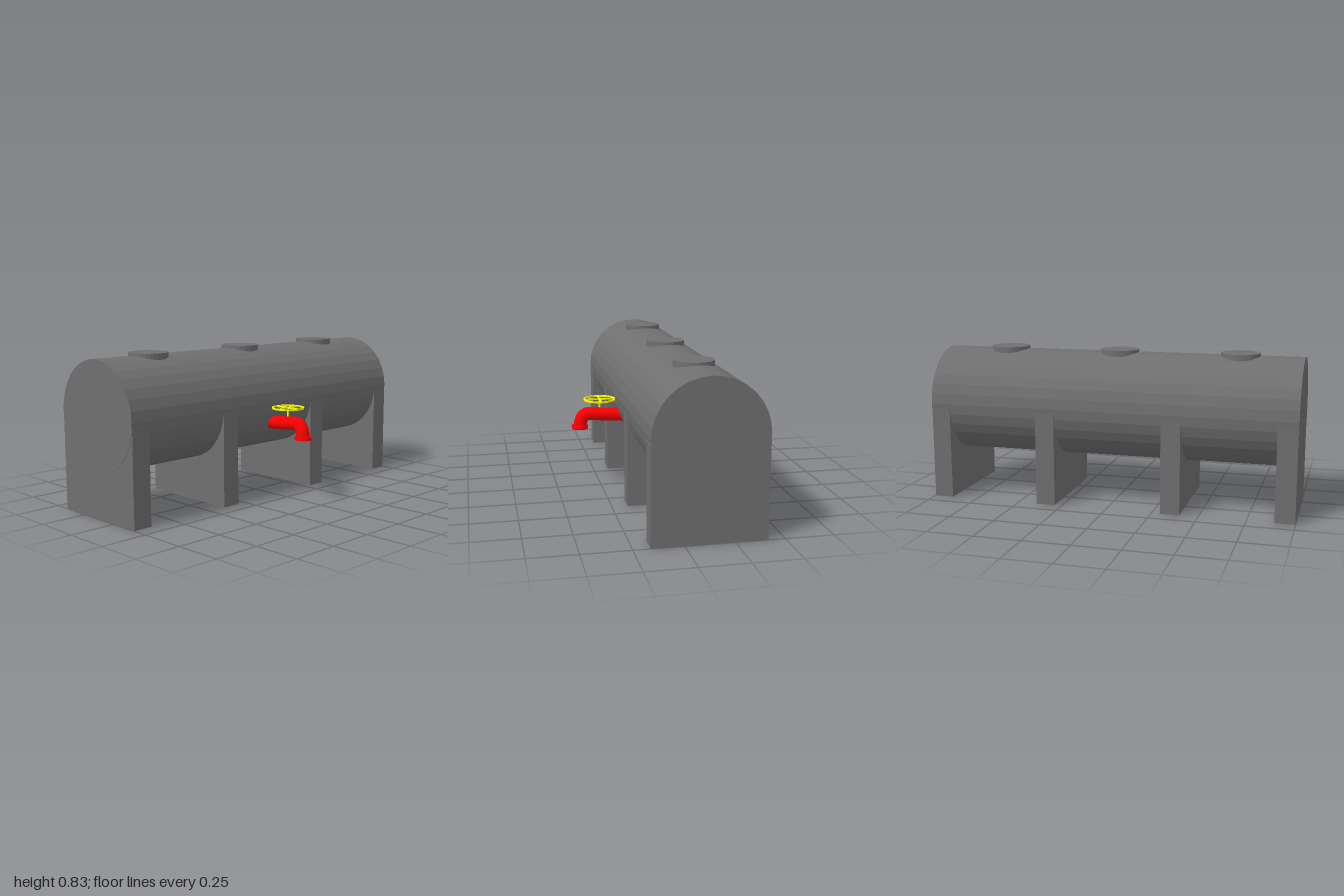
import * as THREE from 'three';

const grey = new THREE.MeshStandardMaterial({ color: 0x6f6f6f, flatShading: true });
const red = new THREE.MeshStandardMaterial({ color: 0xff0000 });
const yellow = new THREE.MeshStandardMaterial({ color: 0xffff00, flatShading: true });

const TANK_X = -0.1245, TANK_Y = 0.527, TANK_R = 0.289;
const WHEEL_X = 0.253, WHEEL_Y = 0.503;

function add(parent, name, geometry, material, x = 0, y = 0, z = 0) {
  const mesh = new THREE.Mesh(geometry, material);
  mesh.name = name;
  mesh.position.set(x, y, z);
  parent.add(mesh);
  return mesh;
}

export function createModel() {
  const model = new THREE.Group();
  model.name = 'storageTank';

  // Horizontal tank
  const tank = new THREE.CylinderGeometry(TANK_R, TANK_R, 2, 32).rotateX(Math.PI / 2);
  add(model, 'tank', tank, grey, TANK_X, TANK_Y, 0);

  // Slab supports, the outer pair just inside the tank ends
  for (const z of [-0.946, -0.342, 0.348, 0.946]) {
    add(model, 'support', new THREE.BoxGeometry(TANK_R * 2, 0.5, 0.104), grey, TANK_X, 0.25, z);
  }

  // Round hatches along the top
  for (const z of [-0.638, 0, 0.662]) {
    add(model, 'hatch', new THREE.CylinderGeometry(0.105, 0.105, 0.06, 32), grey, TANK_X, 0.799, z);
  }

  // Outlet pipe bending down to a flanged mouth
  const outlet = new THREE.Group();
  outlet.name = 'outlet';
  model.add(outlet);
  const path = new THREE.CatmullRomCurve3([
    [0.1, 0.411], [0.18, 0.413], [0.24, 0.417], [0.295, 0.423],
    [0.332, 0.42], [0.355, 0.397], [0.365, 0.347],
  ].map(([x, y]) => new THREE.Vector3(x, y, 0)));
  add(outlet, 'pipe', new THREE.TubeGeometry(path, 18, 0.037, 20), red);
  add(outlet, 'flange', new THREE.CylinderGeometry(0.046, 0.046, 0.018, 24), red, 0.366, 0.349, 0);

  // Valve handwheel: stem, flat rim and two crossing spokes
  const valve = new THREE.Group();
  valve.name = 'valve';
  model.add(valve);
  add(valve, 'stem', new THREE.CylinderGeometry(0.0045, 0.0045, 0.075, 12), yellow, WHEEL_X, 0.466, 0);
  const section = [[0.081, -0.0045], [0.089, -0.0045], [0.089, 0.0045], [0.081, 0.0045], [0.081, -0.0045]];
  const rim = new THREE.LatheGeometry(section.map(([r, y]) => new THREE.Vector2(r, y)), 32);
  add(valve, 'rim', rim, yellow, WHEEL_X, WHEEL_Y, 0);
  for (const turn of [0, Math.PI / 2]) {
    const spoke = new THREE.BoxGeometry(0.166, 0.008, 0.008).rotateY(turn);
    add(valve, 'spoke', spoke, yellow, WHEEL_X, WHEEL_Y, 0);
  }

  return model;
}
